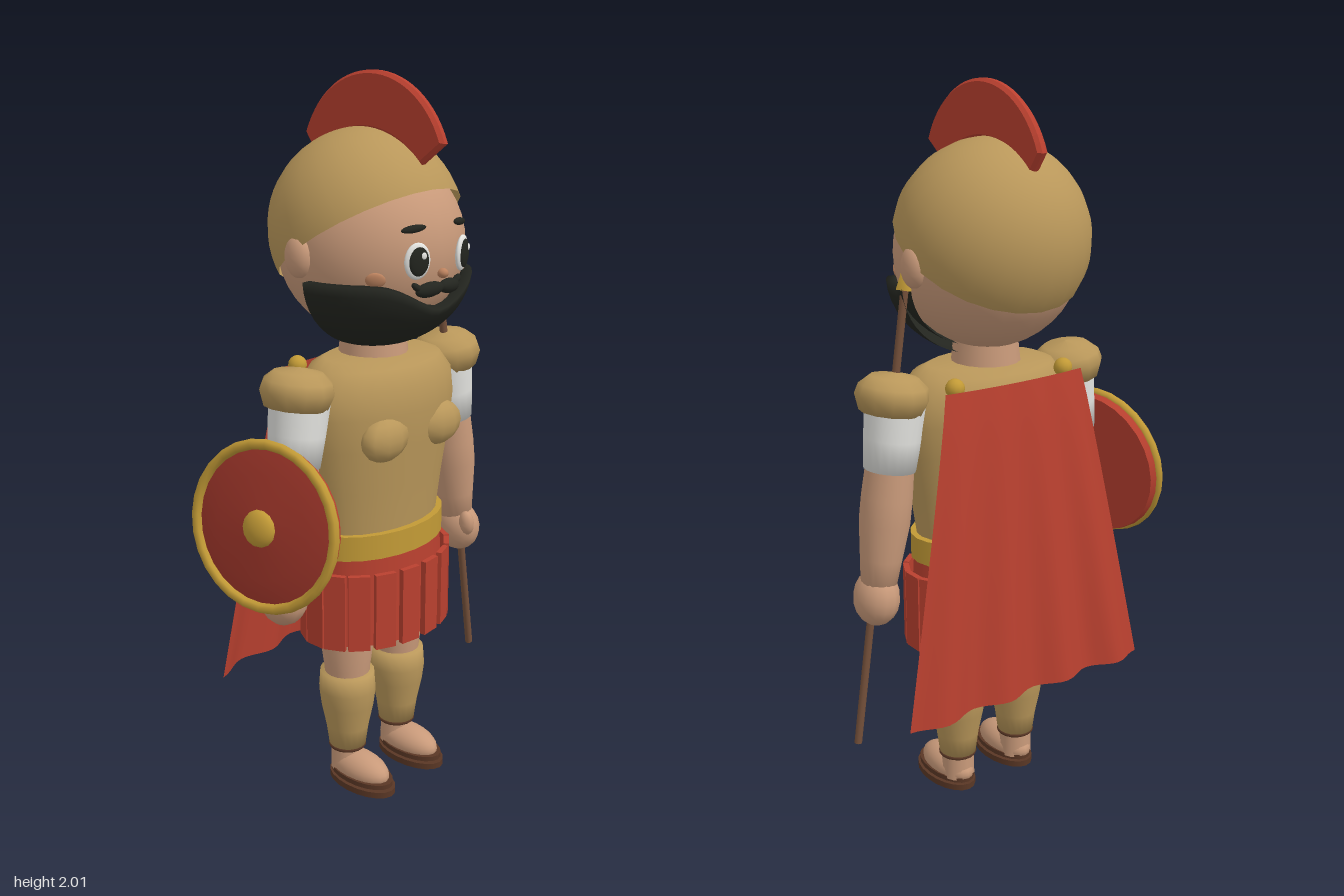
import * as THREE from 'three';

const mat = (name, color, side = THREE.FrontSide) => {
  const m = new THREE.MeshStandardMaterial({ color, side });
  m.name = name;
  return m;
};

export function createModel() {
  const D = THREE.DoubleSide;
  const skin = mat('skin', 0xc99a7a), blush = mat('blush', 0xbd835f);
  const bronze = mat('bronze', 0xb9975a, D), gold = mat('gold', 0xc29a36);
  const red = mat('red cloth', 0xb9402f, D), darkRed = mat('shield red', 0x9f362a);
  const white = mat('white', 0xe4e4e0), black = mat('black', 0x23251f, D);
  const brown = mat('leather', 0x5a3725), wood = mat('wood', 0x74503a);

  const model = new THREE.Group();
  model.name = 'warrior';
  const body = new THREE.Group();
  body.name = 'body';
  body.position.x = 0.03;
  model.add(body);

  const add = (name, geo, material, pos = [0, 0, 0], scale = [1, 1, 1], parent = body) => {
    const m = new THREE.Mesh(geo, material);
    m.name = name;
    m.position.set(...pos);
    m.scale.set(...scale);
    parent.add(m);
    return m;
  };
  const ball = (ws = 20, hs = 14) => new THREE.SphereGeometry(1, ws, hs);
  // Profile of [radius, height] pairs, bottom to top
  const lathe = (pts, seg = 20) => new THREE.LatheGeometry(pts.map(p => new THREE.Vector2(...p)), seg);

  // Head
  const HY = 1.56, HR = 0.25;
  add('head', ball(28, 20), skin, [0, HY, 0], [HR, HR, HR]);
  add('neck', new THREE.CylinderGeometry(0.085, 0.1, 0.14, 16), skin, [0, 1.29, 0.01]);

  // Places a part on the face, turned to follow the head
  const onFace = (name, geo, material, x, y, lift, scale, roll = 0) => {
    const z = Math.sqrt(Math.max(0, HR * HR - x * x - (y - HY) ** 2));
    const n = new THREE.Vector3(x, y - HY, z).normalize();
    const m = add(name, geo, material, [x + n.x * lift, y + n.y * lift, z + n.z * lift], scale);
    m.quaternion.setFromUnitVectors(new THREE.Vector3(0, 0, 1), n);
    m.rotateZ(roll);
    return m;
  };
  for (const s of [-1, 1]) {
    onFace('eyeWhite', ball(), white, s * 0.085, 1.55, 0.005, [0.037, 0.047, 0.012]);
    onFace('pupil', ball(), black, s * 0.084, 1.55, 0.013, [0.028, 0.037, 0.008]);
    onFace('eyeGlint', ball(10, 8), white, s * 0.084 + 0.009, 1.564, 0.02, [0.008, 0.009, 0.003]);
    onFace('eyebrow', ball(12, 8), black, s * 0.087, 1.628, 0.004, [0.036, 0.01, 0.009], s * -0.05);
    onFace('cheek', ball(14, 10), blush, s * 0.17, 1.505, 0.001, [0.026, 0.02, 0.008]);
    onFace('moustache', ball(14, 10), black, s * 0.036, 1.474, 0.008, [0.045, 0.02, 0.018], s * -0.12);
    onFace('moustacheTip', ball(10, 8), black, s * 0.075, 1.482, 0.006, [0.02, 0.009, 0.01], s * 0.6);
    add('ear', ball(12, 10), skin, [s * 0.247, 1.55, -0.02], [0.03, 0.055, 0.042]);
  }
  add('nose', ball(12, 10), blush, [0, 1.51, 0.25], [0.014, 0.013, 0.016]);

  // Beard: a thick shell around the front of the jaw
  const beardPos = [], beardIdx = [], NA = 24, NV = 10;
  for (let i = 0; i <= NA; i++) {
    const a = -Math.PI / 2 + (Math.PI * i) / NA;
    const w = Math.abs(Math.sin(a));
    const top = Math.asin((-0.085 + 0.075 * THREE.MathUtils.smoothstep(w, 0, 0.75)) / 0.212);
    for (let j = 0; j <= 2 * NV + 1; j++) {
      const outer = j <= NV;
      const t = (outer ? j : 2 * NV + 1 - j) / NV;
      const e = THREE.MathUtils.lerp(top, -1.35, t), k = outer ? 1 : 0.9;
      beardPos.push(0.264 * k * Math.cos(e) * Math.sin(a), 1.5 + 0.212 * k * Math.sin(e), 0.01 + 0.26 * k * Math.cos(e) * Math.cos(a));
    }
  }
  const row = 2 * NV + 2;
  for (let i = 0; i < NA; i++) for (let j = 0; j < row; j++) {
    const a = i * row + j, b = i * row + ((j + 1) % row), c = a + row, d = b + row;
    beardIdx.push(a, b, c, b, d, c);
  }
  const beard = new THREE.BufferGeometry();
  beard.setAttribute('position', new THREE.Float32BufferAttribute(beardPos, 3));
  beard.setIndex(beardIdx);
  beard.computeVertexNormals();
  add('beard', beard, black);

  // Helmet tilted back, with a crest over the top
  const helmet = add('helmet', new THREE.SphereGeometry(0.262, 24, 16, 0, Math.PI * 2, 0, 1.667), bronze, [0, 1.598, -0.018]);
  helmet.rotation.x = -0.567;
  const crestShape = new THREE.Shape();
  crestShape.absarc(0.01, 1.74, 0.252, 0.38, Math.PI - 0.38, false);
  crestShape.absarc(-0.005, 1.6, 0.262, Math.PI * 0.75, Math.PI * 0.25, true);
  const crestGeo = new THREE.ExtrudeGeometry(crestShape, {
    depth: 0.012, bevelSize: 0.008, bevelThickness: 0.01, bevelSegments: 1, curveSegments: 14 });
  crestGeo.translate(0, 0, -0.006);
  add('crest', crestGeo, red).rotation.y = -Math.PI / 2;

  // Breastplate, belt and skirt
  add('breastplate', lathe([[0.2, 0.7], [0.212, 0.8], [0.23, 0.92], [0.252, 1.04], [0.264, 1.13],
    [0.255, 1.2], [0.215, 1.25], [0.17, 1.268], [0, 1.272]], 24), bronze, [0, 0, 0.02], [1, 1, 0.62]);
  for (const s of [-1, 1]) {
    add('chestPlate', ball(10, 8), bronze, [s * 0.108, 1.07, 0.152], [0.082, 0.062, 0.046]);
    add('capeClasp', ball(12, 8), gold, [s * 0.18, 1.24, -0.1], [0.026, 0.026, 0.026]);
  }
  add('belt', new THREE.CylinderGeometry(0.23, 0.23, 0.07, 24), gold, [0, 0.765, 0.015], [1, 1, 0.68]);
  add('skirt', new THREE.CylinderGeometry(0.215, 0.232, 0.25, 24), red, [0, 0.605, 0.022], [1, 1, 0.7]);
  const strips = 18;
  for (let i = 0; i < strips; i++) {
    const t = (i + 0.5) * Math.PI * 2 / strips;
    const strip = add('skirtStrip', new THREE.BoxGeometry(0.06, 0.22, 0.016), red,
      [0.238 * Math.sin(t), 0.583, 0.022 + 0.168 * Math.cos(t)]);
    strip.rotation.y = Math.atan2(Math.sin(t) / 0.238, Math.cos(t) / 0.168);
  }

  // Cape flaring to a wavy hem
  const cape = new THREE.PlaneGeometry(2, 1, 40, 12);
  const p = cape.attributes.position;
  for (let i = 0; i < p.count; i++) {
    const u = p.getX(i), t = 0.5 - p.getY(i);
    const wave = 0.016 * t * Math.cos(u * Math.PI * 4);
    p.setXYZ(i, u * THREE.MathUtils.lerp(0.225, 0.4, t),
      THREE.MathUtils.lerp(1.235, 0.355, t) + 0.015 * t * (1 - u * u),
      -0.122 - 0.085 * Math.pow(t, 0.8) + wave - 0.015 * (1 - u * u));
  }
  cape.computeVertexNormals();
  add('cape', cape, red);

  // Legs and arms
  for (const s of [-1, 1]) {
    const leg = new THREE.Group();
    leg.name = 'leg';
    leg.position.set(s * 0.106, 0, 0.01);
    body.add(leg);
    add('thigh', lathe([[0.062, 0.3], [0.066, 0.36], [0.074, 0.42], [0.076, 0.52]]), skin, [0, 0, 0], [1, 1, 1], leg);
    add('greave', lathe([[0, 0.11], [0.052, 0.11], [0.06, 0.17], [0.074, 0.24], [0.08, 0.29], [0.076, 0.345], [0, 0.35]]),
      bronze, [0, 0, 0], [1, 1, 1.05], leg);
    add('ankle', new THREE.CylinderGeometry(0.046, 0.048, 0.1, 14), skin, [0, 0.08, 0], [1, 1, 1], leg);
    add('foot', ball(), skin, [0, 0.045, 0.05], [0.055, 0.05, 0.105], leg);
    add('sole', new THREE.CylinderGeometry(1, 1, 0.018, 20), brown, [0, 0.009, 0.06], [0.065, 1, 0.116], leg);
    add('insole', new THREE.CylinderGeometry(1, 1, 0.014, 20), brown, [0, 0.03, 0.058], [0.06, 1, 0.11], leg);
    const strap = add('ankleStrap', new THREE.TorusGeometry(0.049, 0.006, 6, 18), brown, [0, 0.105, 0], [1, 1, 1], leg);
    strap.rotation.x = Math.PI / 2;

    const arm = new THREE.Group();
    arm.name = 'arm';
    arm.position.set(s * 0.285, 1.2, 0.018);
    arm.rotation.z = s * 0.138;
    body.add(arm);
    add('sleeve', lathe([[0, -0.185], [0.07, -0.185], [0.077, -0.1], [0.083, 0.01]]), white, [0, 0, 0], [1, 1, 1], arm);
    add('bareArm', lathe([[0, -0.53], [0.046, -0.52], [0.056, -0.43], [0.067, -0.33], [0.067, -0.26], [0.062, -0.15]]),
      skin, [0, 0, 0], [1, 1, 1.08], arm);
    add('hand', ball(14, 10), skin, [0, -0.545, 0.004], [0.06, 0.078, 0.074], arm);
    add('thumb', ball(10, 8), skin, [s * -0.022, -0.515, 0.062], [0.022, 0.038, 0.024], arm);
    // Rounded shoulder guard with a flared lower edge
    add('shoulderGuard', lathe([[0, -0.03], [0.085, -0.03], [0.1, 0.012], [0.092, 0.04], [0.065, 0.064], [0, 0.075]], 12),
      bronze, [s * 0.012, 0, 0], [1, 1, 1], arm);
  }

  // Spear leaning through the left hand
  const foot = new THREE.Vector3(0.434, 0.24, 0.022), tip = new THREE.Vector3(0.246, 1.5, 0.022);
  const dir = tip.clone().sub(foot), len = dir.length();
  const spear = new THREE.Group();
  spear.name = 'spear';
  spear.position.copy(foot);
  spear.quaternion.setFromUnitVectors(new THREE.Vector3(0, 1, 0), dir.normalize());
  body.add(spear);
  add('spearShaft', new THREE.CylinderGeometry(0.011, 0.011, len, 10), wood, [0, len / 2, 0], [1, 1, 1], spear);
  add('spearHead', new THREE.ConeGeometry(0.027, 0.11, 4), gold, [0, len + 0.04, 0], [1, 1, 1], spear);

  // Round shield on the right arm
  const shield = new THREE.Group();
  shield.name = 'shield';
  shield.position.set(-0.44, 0.885, 0.038);
  shield.quaternion.setFromUnitVectors(new THREE.Vector3(0, 1, 0), new THREE.Vector3(-0.97, 0.13, 0.2).normalize());
  body.add(shield);
  add('shieldBack', new THREE.CylinderGeometry(0.222, 0.214, 0.03, 28), red, [0, -0.018, 0], [1, 1, 1], shield);
  add('shieldFace', lathe([[0.214, -0.004], [0.14, 0.014], [0, 0.022]], 28), darkRed, [0, 0, 0], [1, 1, 1], shield)
    .geometry.scale(1, 1, 1);
  const rim = add('shieldRim', new THREE.TorusGeometry(0.216, 0.014, 8, 28), gold, [0, 0, 0], [1, 1, 1], shield);
  rim.rotation.x = Math.PI / 2;
  add('shieldBoss', ball(14, 10), gold, [0, 0.018, 0], [0.05, 0.026, 0.05], shield);

  return model;
}
